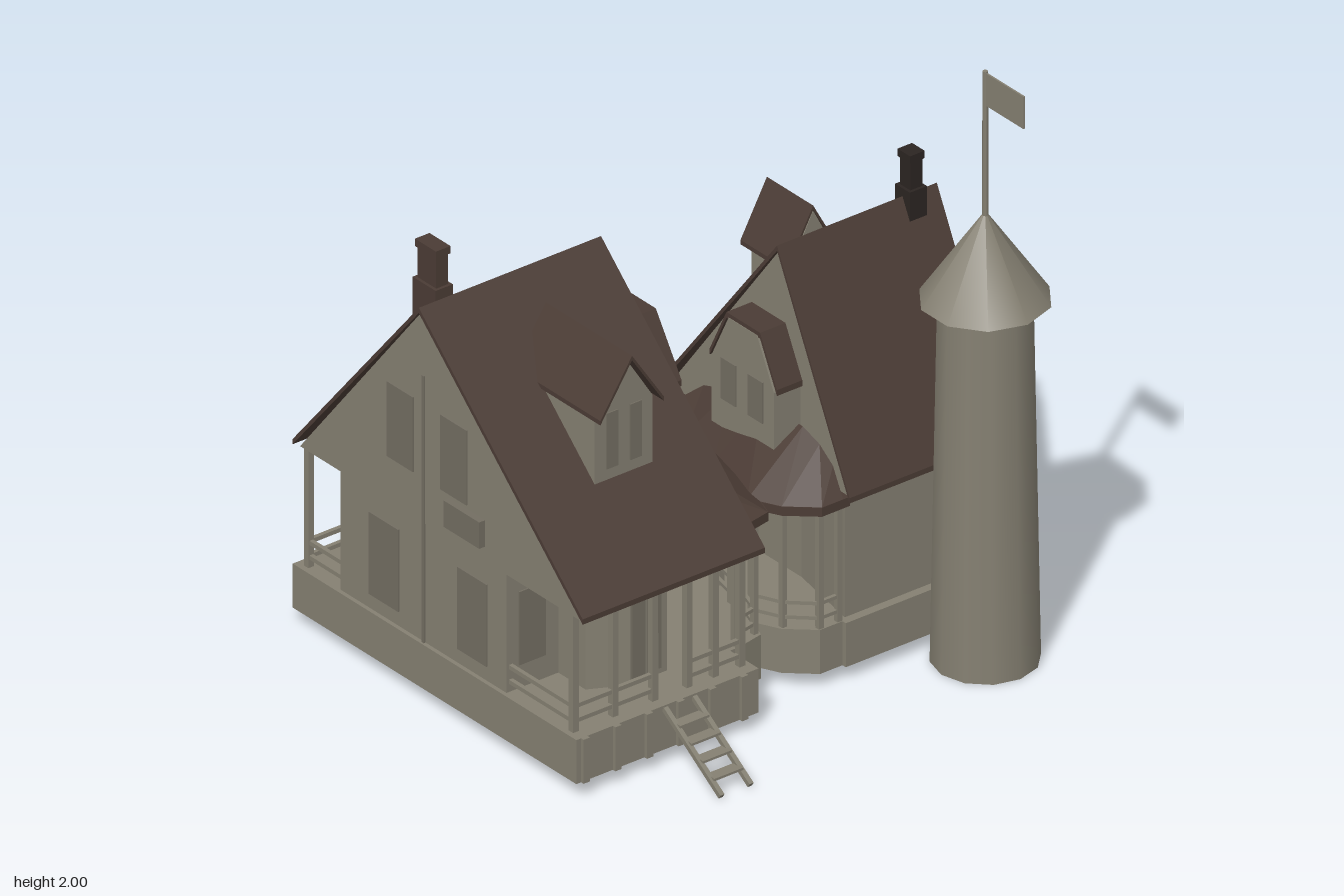
import * as THREE from 'three';

export function createModel() {
  const root = new THREE.Group();
  const mat = (name, color) => {
    const m = new THREE.MeshStandardMaterial({ color, side: THREE.DoubleSide });
    m.name = name;
    return m;
  };
  const WALL = mat('wall grey', 0x858072);
  const ROOF = mat('roof brown', 0x4b3c35);
  const TRIM = mat('window grey', 0x736e62);
  const DARK = mat('chimney dark', 0x2c2522);

  const add = (name, geo, material, parent = root) => {
    const m = new THREE.Mesh(geo, material);
    m.name = name;
    parent.add(m);
    return m;
  };
  const box = (name, x1, x2, y1, y2, z1, z2, material, parent) =>
    add(name, new THREE.BoxGeometry(x2 - x1, y2 - y1, z2 - z1)
      .translate((x1 + x2) / 2, (y1 + y2) / 2, (z1 + z2) / 2), material, parent);
  const outline = pts => new THREE.Shape(pts.map(p => new THREE.Vector2(p[0], p[1])));
  const extrude = (pts, depth) => new THREE.ExtrudeGeometry(outline(pts), { depth, bevelEnabled: false });
  // section in x,y run along z
  const prismZ = (name, pts, z1, z2, material) =>
    add(name, extrude(pts, z2 - z1).translate(0, 0, z1), material);
  // section in z,y run along x
  const prismX = (name, pts, x1, x2, material) =>
    add(name, extrude(pts.map(([z, y]) => [-z, y]), x2 - x1).rotateY(Math.PI / 2).translate(x1, 0, 0), material);
  // floor plan in x,z raised along y
  const plan = (name, pts, y1, y2, material) =>
    add(name, extrude(pts.map(([x, z]) => [x, -z]), y2 - y1).rotateX(-Math.PI / 2).translate(0, y1, 0), material);
  const slope = (a, b, t = 0.018) => [a, b, [b[0], b[1] - t], [a[0], a[1] - t]];
  // thin bar between two points
  const bar = (name, a, b, w = 0.014, material = WALL) => {
    const p = new THREE.Vector3(...a), q = new THREE.Vector3(...b);
    const m = add(name, new THREE.BoxGeometry(w, w, p.distanceTo(q)), material);
    m.position.copy(p).lerp(q, 0.5);
    m.lookAt(q);
    return m;
  };

  // Gabled upper storey with two roof slopes
  function gable(name, xl, xr, xc, top, z1, z2) {
    const e = 0.61;
    prismZ(name + 'Gable', [[xl + 0.02, e - 0.005], [xr - 0.02, e - 0.005], [xc, top - 0.018]], z1 + 0.012, z2 - 0.012, WALL);
    for (const x of [xl, xr]) prismZ(name + 'Roof', slope([x, e + 0.015], [xc, top]), z1, z2, ROOF);
  }
  gable('frontHouse', -0.8, 0.58, -0.2, 1.34, 0.14, 0.83);
  gable('backHouse', -0.4, 0.505, 0.16, 1.333, -0.845, -0.24);

  // Ground floor walls with recessed porches
  plan('frontHouseWalls', [[-0.59, 0.816], [0.2, 0.816], [0.2, 0.62], [0.33, 0.62], [0.39, 0.5], [0.39, 0.36],
    [0.22, 0.23], [-0.59, 0.23]], 0.19, 0.61, WALL);
  plan('backHouseWalls', [[-0.2, -0.83], [0.47, -0.83], [0.47, -0.25], [0.2, -0.3], [-0.1, -0.3], [-0.2, -0.42]], 0.19, 0.61, WALL);

  // Bowed verandas between the houses
  const frontBow = [[-0.8, 0], [-0.68, -0.08], [-0.52, -0.13], [-0.28, -0.16], [0.0, -0.12], [0.22, -0.07], [0.42, 0], [0.44, 0.1]];
  const backBow = [[-0.31, -0.2], [-0.27, -0.15], [-0.1, -0.1], [0.08, -0.065], [0.32, 0.0], [0.42, -0.05], [0.5, -0.14], [0.5, -0.22]];
  function veranda(name, bow, zWall, xc, rise) {
    const n = bow.length, pos = [], idx = [];
    bow.forEach(([x, z], i) => {
      const t = Math.sin(Math.PI * i / (n - 1));
      pos.push(x, 0.625, z, xc + (x - xc) * 0.8, 0.64 + rise * t, zWall);
      if (i) idx.push(2 * i - 2, 2 * i - 1, 2 * i, 2 * i, 2 * i - 1, 2 * i + 1);
    });
    let g = new THREE.BufferGeometry();
    g.setAttribute('position', new THREE.Float32BufferAttribute(pos, 3));
    g.setIndex(idx);
    g = g.toNonIndexed();
    g.computeVertexNormals();
    add(name + 'Roof', g, ROOF);
    const closed = [...bow, [bow[n - 1][0], zWall], [bow[0][0], zWall]];
    plan(name + 'Eave', closed, 0.595, 0.626, ROOF);
    plan(name + 'Floor', closed.map(([x, z]) => [xc + (x - xc) * 0.96, zWall + (z - zWall) * 0.95]), 0.05, 0.2, WALL);
    // posts and railings follow the curved edge
    const edge = bow.map(([x, z]) => [xc + (x - xc) * 0.93, zWall + (z - zWall) * 0.88]);
    edge.forEach(([x, z], i) => {
      bar(name + 'Post', [x, 0.2, z], [x, 0.6, z], 0.018);
      if (i && i !== 4) for (const y of [0.235, 0.285]) bar(name + 'Rail', [edge[i - 1][0], y, edge[i - 1][1]], [x, y, z], 0.012);
    });
  }
  veranda('frontVeranda', frontBow, 0.155, -0.2, 0.15);
  veranda('backVeranda', backBow, -0.245, 0.1, 0.13);

  // Raised foundations
  box('frontFoundation', -0.8, 0.55, 0.05, 0.2, 0.14, 0.83, WALL);
  box('backFoundation', -0.4, 0.5, 0.05, 0.2, -0.84, -0.23, WALL);
  for (let i = 0; i < 6; i++) {
    const z = 0.2 + i * 0.12;
    box('foundationRib', 0.55, 0.562, 0.05, 0.2, z - 0.012, z + 0.012, WALL);
    if (i < 5) box('foundationRib', -0.412, -0.4, 0.05, 0.2, -0.78 + i * 0.12, -0.756 + i * 0.12, WALL);
  }

  // Side porch posts and railings
  function sidePorch(x, zs) {
    zs.forEach((z, i) => {
      bar('porchPost', [x, 0.2, z], [x, 0.61, z], 0.022);
      if (i) for (const y of [0.235, 0.285]) bar('porchRail', [x, y, zs[i - 1]], [x, y, z]);
    });
  }
  sidePorch(-0.76, [0.8, 0.63, 0.46, 0.3, 0.17]);
  sidePorch(0.5, [0.8, 0.65, 0.5]);
  sidePorch(0.5, [0.37, 0.27, 0.17]);
  sidePorch(-0.37, [-0.81, -0.69, -0.57]);
  sidePorch(-0.37, [-0.44, -0.35, -0.26]);
  for (const y of [0.235, 0.285]) {
    bar('porchEndRail', [-0.76, y, 0.8], [-0.59, y, 0.8]);
    bar('porchEndRail', [0.2, y, 0.8], [0.5, y, 0.8]);
    bar('porchEndRail', [-0.37, y, -0.81], [-0.2, y, -0.81]);
  }

  // Dormers: gabled boxes on the roof slopes
  function dormer(name, zc, half, xIn, xWall, xRoof, base) {
    const w = half - 0.01, lo = Math.min(xIn, xWall), hi = Math.max(xIn, xWall);
    prismX(name + 'Wall', [[zc - w, base], [zc + w, base], [zc + w, 1.1], [zc, 1.272], [zc - w, 1.1]], lo, hi, WALL);
    for (const s of [-1, 1]) {
      prismX(name + 'Roof', slope([zc + s * half, 1.11], [zc, 1.29], 0.015), Math.min(xIn, xRoof), Math.max(xIn, xRoof), ROOF);
      const z = zc + s * 0.045, d = Math.sign(xWall - xIn) * 0.004;
      box(name + 'Window', Math.min(xWall, xWall + d), Math.max(xWall, xWall + d), 0.91, 1.1, z - 0.022, z + 0.022, TRIM);
    }
  }
  dormer('frontDormer', 0.46, 0.12, -0.06, 0.31, 0.35, 0.86);
  dormer('backDormer', -0.52, 0.1, -0.02, -0.2, -0.24, 0.85);

  // Bays with clipped gables above the verandas
  function bay(name, x1, x2, base, shoulder, top, z1, z2, zFace) {
    const c = (x2 - x1) * 0.25;
    const p = [[x1, shoulder], [x1 + c, top], [x2 - c, top], [x2, shoulder]];
    prismZ(name + 'Wall', [[x1 + 0.012, base], ...p.map(([x, y], i) => [x + (i < 2 ? 0.012 : -0.012), y - 0.014]), [x2 - 0.012, base]], z1, z2, WALL);
    for (let i = 0; i < 3; i++) prismZ(name + 'Roof', slope(p[i], p[i + 1], 0.02), z1 + 0.002, z2 - 0.002, ROOF);
    const m = (x1 + x2) / 2;
    for (const s of [-1, 1])
      box(name + 'Window', m + s * c * 0.8 - 0.035, m + s * c * 0.8 + 0.035, base + 0.1, shoulder, zFace - 0.003, zFace + 0.003, TRIM);
  }
  bay('frontHouseBay', -0.43, 0.06, 0.68, 0.93, 1.12, 0.04, 0.16, 0.038);
  bay('backHouseBay', -0.05, 0.27, 0.68, 0.92, 1.08, -0.25, -0.15, -0.148);

  // Windows, doors and gable trim as thin plates
  const pane = (name, x, y1, y2, w, z) => box(name, x - w / 2, x + w / 2, y1, y2, z - 0.003, z + 0.003, TRIM);
  pane('upperWindow', -0.3, 0.76, 1.015, 0.125, 0.82);
  pane('upperWindow', -0.045, 0.76, 1.015, 0.125, 0.82);
  pane('lowerWindow', -0.38, 0.25, 0.53, 0.14, 0.818);
  pane('lowerWindow', 0.04, 0.25, 0.53, 0.14, 0.818);
  for (const x of [0, 0.28]) pane('backWindow', x, 0.32, 0.55, 0.09, -0.832);
  pane('gableTrim', -0.19, 0.2, 1.11, 0.01, 0.82);
  pane('gableTrim', 0.16, 0.2, 1.0, 0.01, -0.834);
  for (const z of [0.41, 0.47]) box('sideDoor', 0.39, 0.395, 0.22, 0.52, z - 0.025, z + 0.025, TRIM);
  box('sideWindow', 0.2, 0.205, 0.28, 0.53, 0.67, 0.77, TRIM);
  for (const z of [0.35, 0.62]) box('sideWindow', -0.595, -0.59, 0.28, 0.53, z - 0.05, z + 0.05, TRIM);
  box('sideWindow', -0.205, -0.2, 0.28, 0.53, -0.72, -0.62, TRIM);
  box('wallLamp', -0.07, 0.1, 0.655, 0.745, 0.815, 0.84, TRIM);

  // Chimneys with flared caps
  function chimney(x1, x2, z1, z2, base, top, material) {
    const g = new THREE.Group();
    g.name = 'chimney';
    root.add(g);
    box('chimneyBase', x1 - 0.005, x2 + 0.005, base, 1.36, z1 - 0.005, z2 + 0.005, material, g);
    box('chimneyStack', x1 + 0.005, x2 - 0.005, 1.36, top - 0.025, z1 + 0.005, z2 - 0.005, material, g);
    box('chimneyCap', x1, x2, top - 0.025, top, z1, z2, material, g);
  }
  chimney(-0.325, -0.225, 0.69, 0.745, 1.12, 1.49, ROOF);
  chimney(0.13, 0.19, -0.775, -0.72, 1.2, 1.48, DARK);

  // Stairs: sloping stringers, treads and handrails
  function stairs(x1, x2, zc, half) {
    for (const s of [-1, 1]) {
      const z = zc + s * half;
      bar('stairStringer', [x1, 0.19, z], [x2, 0.01, z], 0.016);
    }
    for (let i = 1; i < 5; i++) {
      const t = i / 5, x = x1 + (x2 - x1) * t, y = 0.19 - 0.18 * t;
      box('stairTread', x - 0.02, x + 0.02, y, y + 0.008, zc - half, zc + half, WALL);
    }
  }
  stairs(0.55, 0.82, 0.44, 0.055);
  stairs(-0.4, -0.54, -0.51, 0.045);

  // Round tower with cone roof, pole and flag
  const tower = new THREE.Group();
  tower.name = 'tower';
  tower.position.set(0.642, 0, -0.645);
  root.add(tower);
  add('towerShaft', new THREE.CylinderGeometry(0.145, 0.167, 1.225, 12).translate(0, 0.6125, 0), WALL, tower);
  add('towerRoof', new THREE.ConeGeometry(0.203, 0.3, 10).rotateY(Math.PI / 10).translate(0, 1.375, 0), WALL, tower);
  add('flagPole', new THREE.CylinderGeometry(0.009, 0.011, 0.5, 6).translate(0, 1.75, 0), WALL, tower);
  box('flag', 0, 0.185, 1.885, 1.995, -0.003, 0.003, WALL, tower);

  return root;
}
